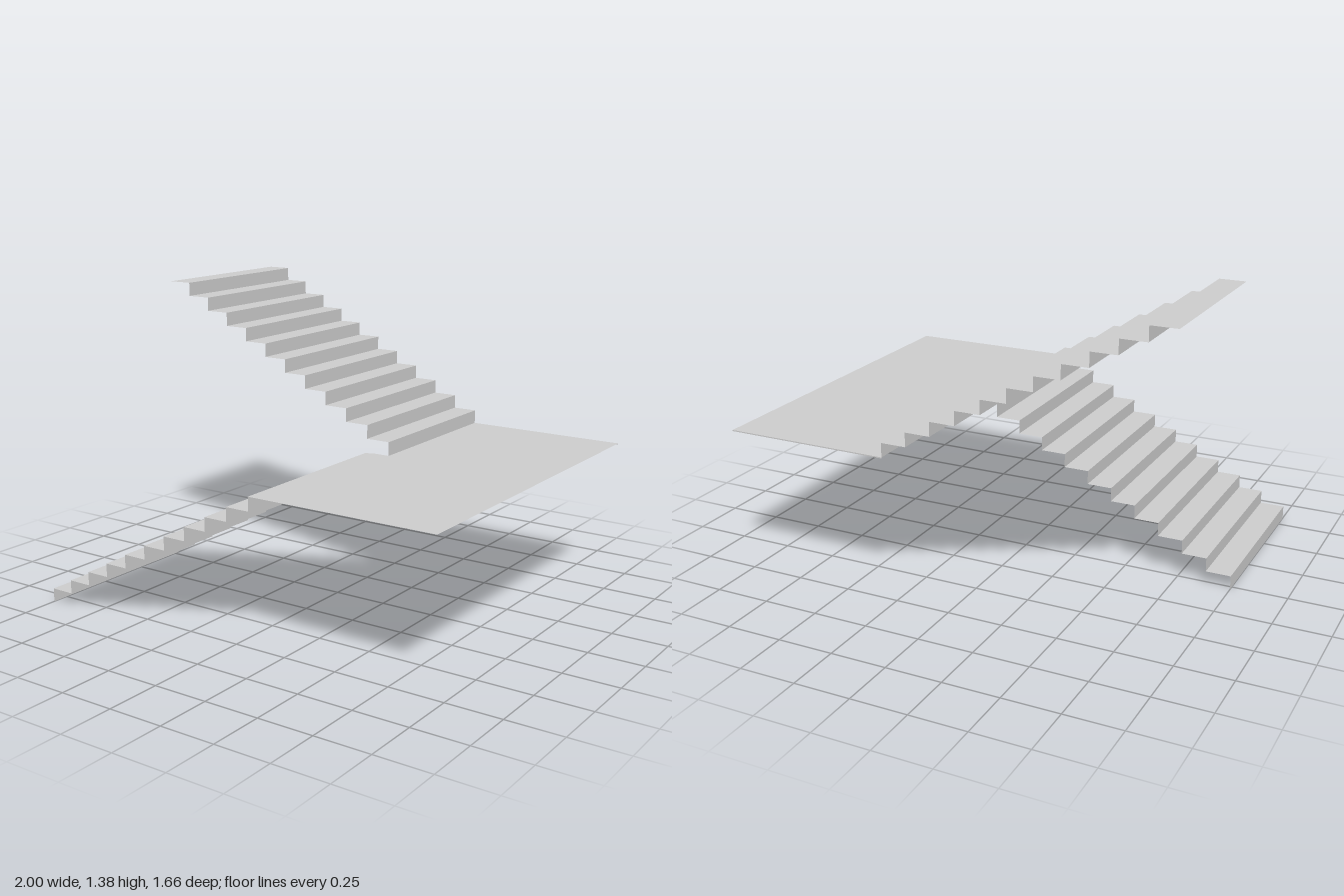
import * as THREE from 'three';

const RISERS = 11, RUN = 0.1136, MID = 0.684, TOP = 1.375;

const material = new THREE.MeshStandardMaterial({ color: 0xcccccc, flatShading: true, side: THREE.DoubleSide });

function addMesh(parent, name, geometry) {
  const mesh = new THREE.Mesh(geometry, material);
  mesh.name = name;
  parent.add(mesh);
  return mesh;
}

// Sweeps an open [x, y] profile straight along z, with its own corners per face
function ribbon(profile, zA, zB) {
  const positions = [];
  for (let i = 0; i < profile.length - 1; i++) {
    const [ax, ay] = profile[i], [bx, by] = profile[i + 1];
    positions.push(ax, ay, zA, bx, by, zA, bx, by, zB);
    positions.push(ax, ay, zA, bx, by, zB, ax, ay, zB);
  }
  const geometry = new THREE.BufferGeometry();
  geometry.setAttribute('position', new THREE.Float32BufferAttribute(positions, 3));
  geometry.computeVertexNormals();
  return geometry;
}

// Zigzag of risers and treads; dir is the x direction of the climb
function stepProfile(x, y0, y1, dir, lastTread) {
  const rise = (y1 - y0) / RISERS;
  const points = [[x, y0]];
  for (let i = 0; i < RISERS; i++) {
    const px = x + dir * RUN * i, py = y0 + rise * (i + 1);
    points.push([px, py]);
    if (i < RISERS - 1 || lastTread) points.push([px + dir * RUN, py]);
  }
  return points;
}

export function createModel() {
  const model = new THREE.Group();
  model.name = 'staircase';

  // Lower flight climbs towards +x, upper flight turns back towards -x
  addMesh(model, 'lowerFlight', ribbon(stepProfile(-1, 0, MID, 1, false), 0.827, -0.025));
  addMesh(model, 'upperFlight', ribbon(stepProfile(0.25, MID, TOP, -1, true), -0.83, -0.035));

  // Landing, notched where the two flights meet it
  const outline = [
    [0.136, 0.827], [1, 0.827], [1, -0.83], [0.25, -0.83],
    [0.25, -0.035], [0.167, -0.035], [0.167, -0.025], [0.136, -0.025],
  ].map(([x, z]) => new THREE.Vector2(x, -z));
  const landing = new THREE.ShapeGeometry(new THREE.Shape(outline));
  landing.rotateX(-Math.PI / 2).translate(0, MID, 0);
  addMesh(model, 'landing', landing);

  // Thin lip under the back edge of the landing
  const lip = new THREE.PlaneGeometry(0.75, 0.005);
  lip.rotateY(Math.PI).translate(0.625, MID - 0.0025, -0.83);
  addMesh(model, 'landingBackLip', lip);

  return model;
}
